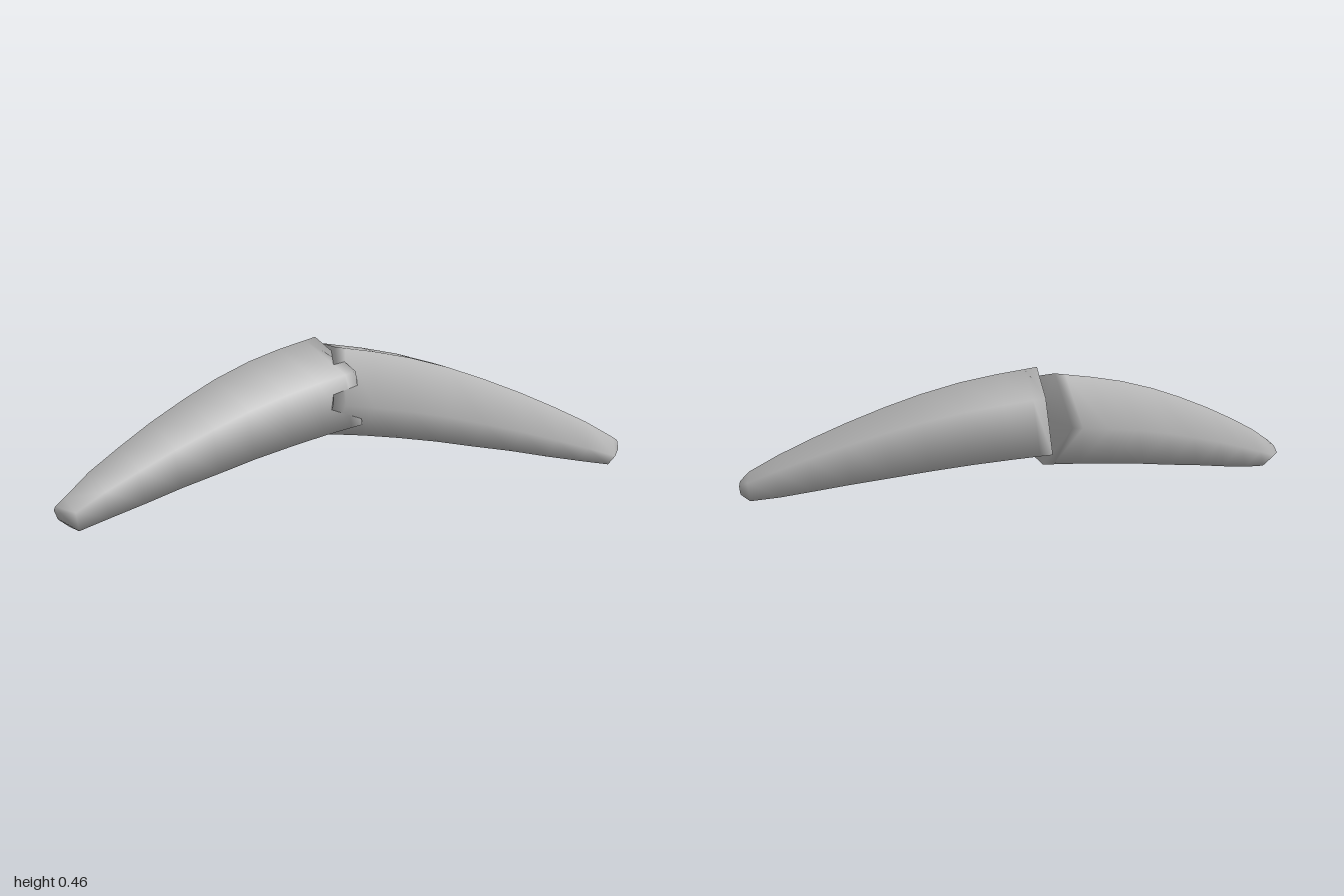
import * as THREE from 'three';

// Arm sections from the joint to the tip: x, centre y, centre z, half-height radius, depth radius
const SECTIONS = [
  [-0.01, 0.31, -0.07, 0.163, 0.225],
  [0.03, 0.305, -0.062, 0.161, 0.224],
  [0.13, 0.292, -0.043, 0.157, 0.222],
  [0.25, 0.272, -0.015, 0.151, 0.215],
  [0.38, 0.243, 0.018, 0.141, 0.199],
  [0.5, 0.21, 0.054, 0.129, 0.18],
  [0.63, 0.172, 0.093, 0.112, 0.157],
  [0.75, 0.132, 0.134, 0.095, 0.132],
  [0.86, 0.094, 0.17, 0.076, 0.108],
  [0.955, 0.058, 0.212, 0.053, 0.079],
  [0.99, 0.061, 0.198, 0.024, 0.036],
];
const SIDES = 5;

// Five-sided tapered arm, each section leaning square to the arm's axis
function armGeometry(side) {
  const pos = [], index = [];
  for (const [x, y, z, ry, rz] of SECTIONS) {
    for (let j = 0; j < SIDES; j++) {
      const a = (j / SIDES) * Math.PI * 2;
      const dy = ry * Math.sin(a), dz = side * rz * Math.cos(a);
      pos.push(side * Math.min(1, x + 0.13 * dy - 0.21 * dz), y + dy, z + dz);
    }
  }
  const last = SECTIONS.length - 1;
  for (let i = 0; i < last; i++) {
    for (let j = 0; j < SIDES; j++) {
      const k = (j + 1) % SIDES;
      const a = i * SIDES + j, d = i * SIDES + k;
      const b = a + SIDES, c = d + SIDES;
      index.push(a, b, d, b, c, d);
    }
  }
  // Closed joint end and tip
  const start = pos.length / 3, end = start + 1;
  for (const i of [0, last]) pos.push(side * SECTIONS[i][0], SECTIONS[i][1], SECTIONS[i][2]);
  for (let j = 0; j < SIDES; j++) {
    const k = (j + 1) % SIDES;
    index.push(start, j, k, end, last * SIDES + k, last * SIDES + j);
  }
  const geo = new THREE.BufferGeometry();
  geo.setAttribute('position', new THREE.Float32BufferAttribute(pos, 3));
  geo.setIndex(index);
  geo.computeVertexNormals();
  return geo;
}

export function createModel() {
  const model = new THREE.Group();
  model.name = 'bentArms';
  const grey = new THREE.MeshStandardMaterial({ color: 0xb8b8b8 });
  grey.name = 'grey';

  for (const [name, side] of [['leftArm', 1], ['rightArm', -1]]) {
    const arm = new THREE.Mesh(armGeometry(side), grey);
    arm.name = name;
    model.add(arm);
  }
  return model;
}
